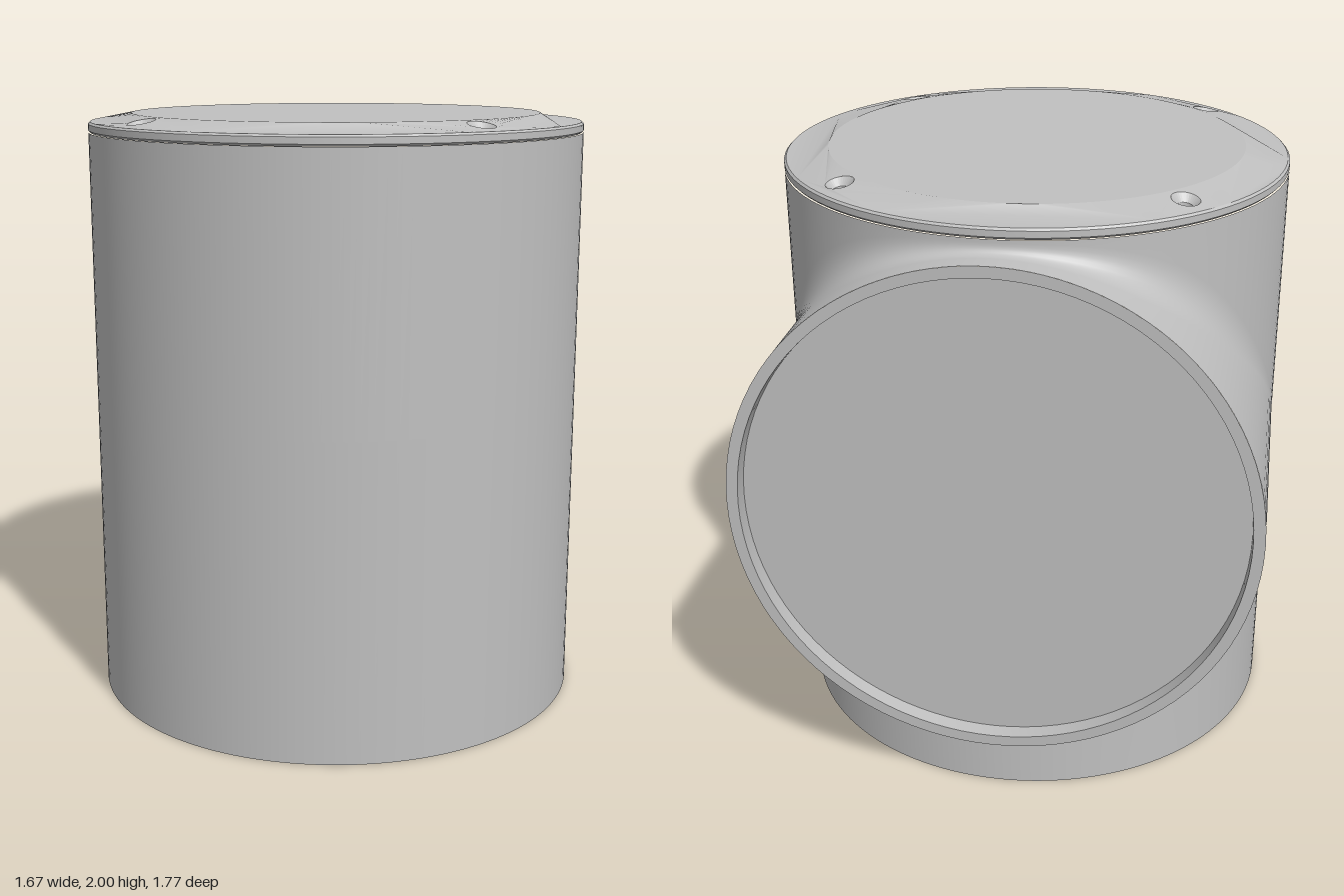
import * as THREE from 'three';
import { mergeGeometries, mergeVertices, toCreasedNormals } from 'three/addons/utils/BufferGeometryUtils.js';

const R = 0.835;          // radius of both the upright body and the side outlet
const OUTLET_Y = 1.058;   // height of the outlet axis
const OUTLET_Z = -0.935;  // outlet face, measured from the body axis
const BODY_TOP = 1.938;
const LID_R = 0.828, DISC_R = 0.69, SCREW = 0.53;

// Grid surface through fn(i, j); the front faces outward when i runs counter-clockwise and j upward
function grid(nu, nv, fn, flip = false) {
  const pos = [], idx = [];
  for (let j = 0; j <= nv; j++) for (let i = 0; i <= nu; i++) pos.push(...fn(i, j));
  for (let j = 0; j < nv; j++) for (let i = 0; i < nu; i++) {
    const a = j * (nu + 1) + i, b = a + 1, c = b + nu + 1, d = c - 1;
    if (flip) idx.push(a, c, b, a, d, c);
    else idx.push(a, b, c, a, c, d);
  }
  const g = new THREE.BufferGeometry();
  g.setAttribute('position', new THREE.Float32BufferAttribute(pos, 3));
  g.setIndex(idx);
  return g;
}

// Half of the outlet, its fillet and the body wall above (side 1) or below (side -1) the outlet
function branchHalf(side, yEnd) {
  const nu = 64, arc = 8;
  return grid(nu, arc + 2, (i, j) => {
    const t = (i / nu) * Math.PI, x = R * Math.cos(t), s = R * Math.sin(t);
    const d = 0.035 * Math.sin(t) + 0.09 * Math.sin(2 * t) ** 2;
    if (j === 0) return [x, OUTLET_Y + side * s, OUTLET_Z];
    if (j === arc + 2) return [x, yEnd, -s];
    const k = (j - 1) / arc;
    return [x, OUTLET_Y + side * (s + d * k * k), -(s + d * (1 - k) ** 2)];
  }, side < 0);
}

function bodyGeometry() {
  const levels = [0, OUTLET_Y, BODY_TOP];
  const front = grid(64, 2, (i, j) => {
    const t = Math.PI * (1 + i / 64);
    return [R * Math.cos(t), levels[j], -R * Math.sin(t)];
  });
  const g = mergeVertices(mergeGeometries([front, branchHalf(1, BODY_TOP), branchHalf(-1, 0)]), 1e-4);
  g.computeVertexNormals();
  return g;
}

function lathe(points, segments = 96) {
  const g = new THREE.LatheGeometry(points.map(p => new THREE.Vector2(...p)), segments);
  return toCreasedNormals(g, 0.5);
}

// Height of the sloped lid border at a given distance from the axis
const lidY = (x, z) => 2 - 0.027 * (Math.hypot(x, z) - DISC_R) / (LID_R - DISC_R);

function followSlope(g) {
  const p = g.attributes.position;
  for (let i = 0; i < p.count; i++) p.setY(i, p.getY(i) + lidY(p.getX(i), p.getZ(i)));
  g.computeVertexNormals();
  return g;
}

export function createModel() {
  const grey = new THREE.MeshStandardMaterial({ color: 0xc0c0c0 });
  grey.name = 'light grey';
  const model = new THREE.Group();
  model.name = 'teeHousing';
  const assembly = new THREE.Group();
  assembly.name = 'housing';
  assembly.position.z = 0.05;
  model.add(assembly);
  const add = (name, geometry) => {
    const mesh = new THREE.Mesh(geometry, grey);
    mesh.name = name;
    assembly.add(mesh);
    return mesh;
  };

  // Upright body blended into the rear outlet
  add('body', bodyGeometry());
  add('base', new THREE.CircleGeometry(R, 96).rotateX(Math.PI / 2));

  // Rim and recessed cover of the outlet
  const rim = add('outletRim', lathe([[R, 0], [0.798, 0], [0.795, -0.05], [0, -0.05]]).rotateX(-Math.PI / 2));
  rim.position.set(0, OUTLET_Y, OUTLET_Z);

  // Lid edge, sloped border with screw holes, and flat centre
  add('lidEdge', lathe([[0.8, 1.936], [0.828, 1.938], [R, 1.945], [R, 1.966], [LID_R, 1.973]]));
  const border = new THREE.Shape().absarc(0, 0, LID_R, 0, Math.PI * 2);
  border.holes.push(new THREE.Path().absarc(0, 0, DISC_R, 0, Math.PI * 2, true));
  for (const x of [-SCREW, SCREW]) for (const z of [-SCREW, SCREW]) {
    border.holes.push(new THREE.Path().absarc(x, z, 0.045, 0, Math.PI * 2, true));
    // Countersunk screw hole
    const hole = lathe([[0.045, 0], [0.024, -0.022], [0.022, -0.05], [0, -0.05]], 32).translate(x, 0, z);
    add('screwHole', followSlope(hole));
  }
  add('lidBorder', followSlope(new THREE.ShapeGeometry(border, 48).rotateX(-Math.PI / 2)));
  add('lidCentre', new THREE.CircleGeometry(DISC_R, 96).rotateX(-Math.PI / 2).translate(0, 2, 0));
  return model;
}
